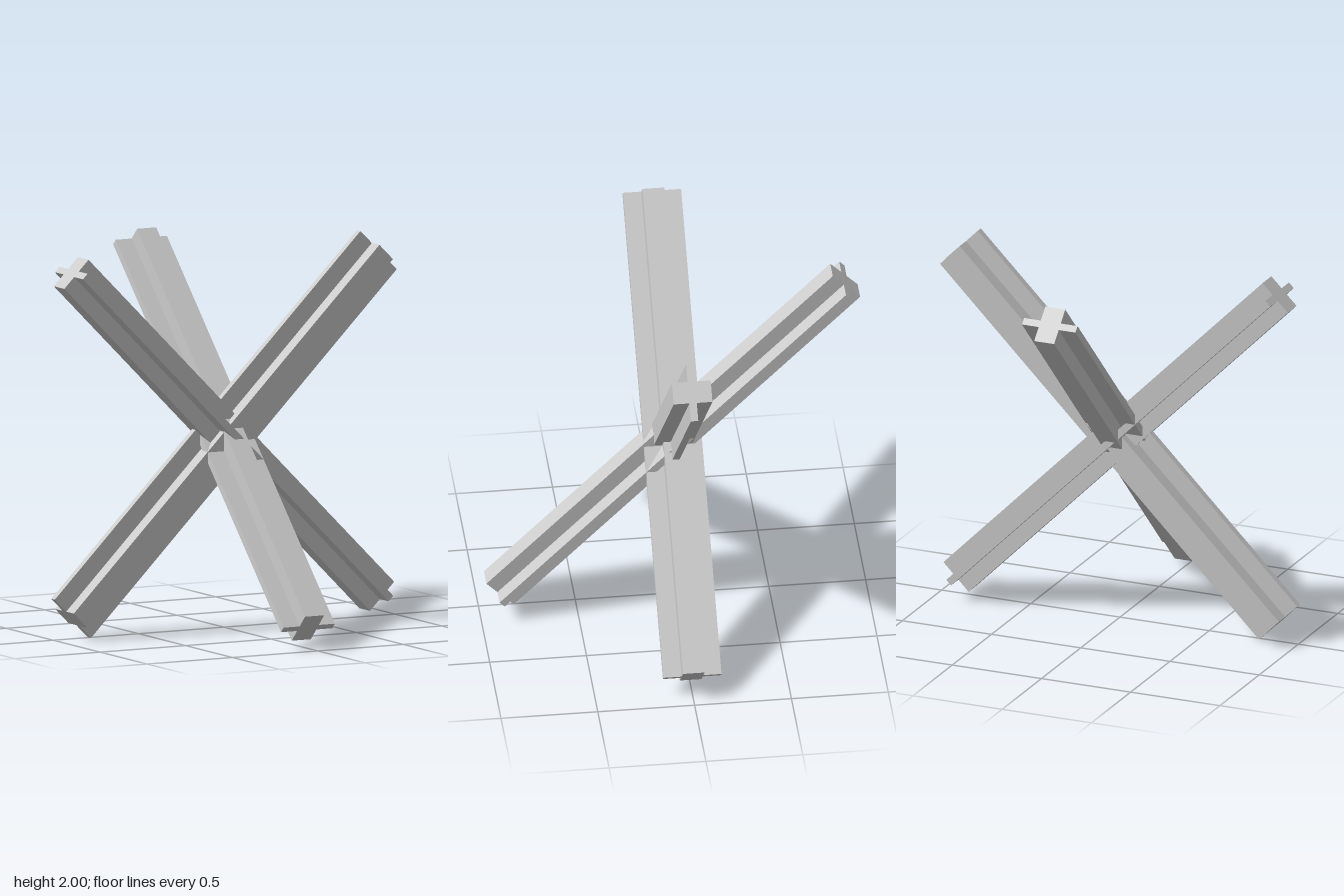
import * as THREE from 'three';

const LENGTH = 2.53;

// Plus-shaped section: a thin wide flange crossing a thicker, narrower core
function crossSection() {
  const flange = [0.15, 0.019], core = [0.056, 0.1];
  const quarter = [[flange[0], flange[1]], [core[0], flange[1]], [core[0], core[1]]];
  const points = [];
  for (const [sx, sy] of [[1, 1], [-1, 1], [-1, -1], [1, -1]]) {
    const corner = quarter.map(([x, y]) => new THREE.Vector2(x * sx, y * sy));
    points.push(...(sx * sy > 0 ? corner : corner.reverse()));
  }
  return new THREE.Shape(points);
}

export function createModel() {
  const group = new THREE.Group();
  group.name = 'crossedBeamObstacle';
  const material = new THREE.MeshStandardMaterial({ color: 0xcccccc, flatShading: true });

  const geometry = new THREE.ExtrudeGeometry(crossSection(), { depth: LENGTH, bevelEnabled: false });
  geometry.translate(0, 0, -LENGTH / 2);

  // Each beam runs along `axis` through the centre, its flange spreading along `spread`
  function addBeam(name, axis, spread) {
    const z = new THREE.Vector3(...axis).normalize();
    const x = new THREE.Vector3(...spread).normalize();
    const y = new THREE.Vector3().crossVectors(z, x);
    const beam = new THREE.Mesh(geometry, material);
    beam.name = name;
    beam.quaternion.setFromRotationMatrix(new THREE.Matrix4().makeBasis(x, y, z));
    beam.position.y = 1;
    group.add(beam);
  }

  addBeam('leftRisingBeam', [1, 1, 0], [-1, 1, 0]);
  addBeam('rightRisingBeam', [-1, 1, 0], [0, 0, 1]);
  addBeam('backRisingBeam', [0, 1, -1], [1, 0, 0]);
  return group;
}
